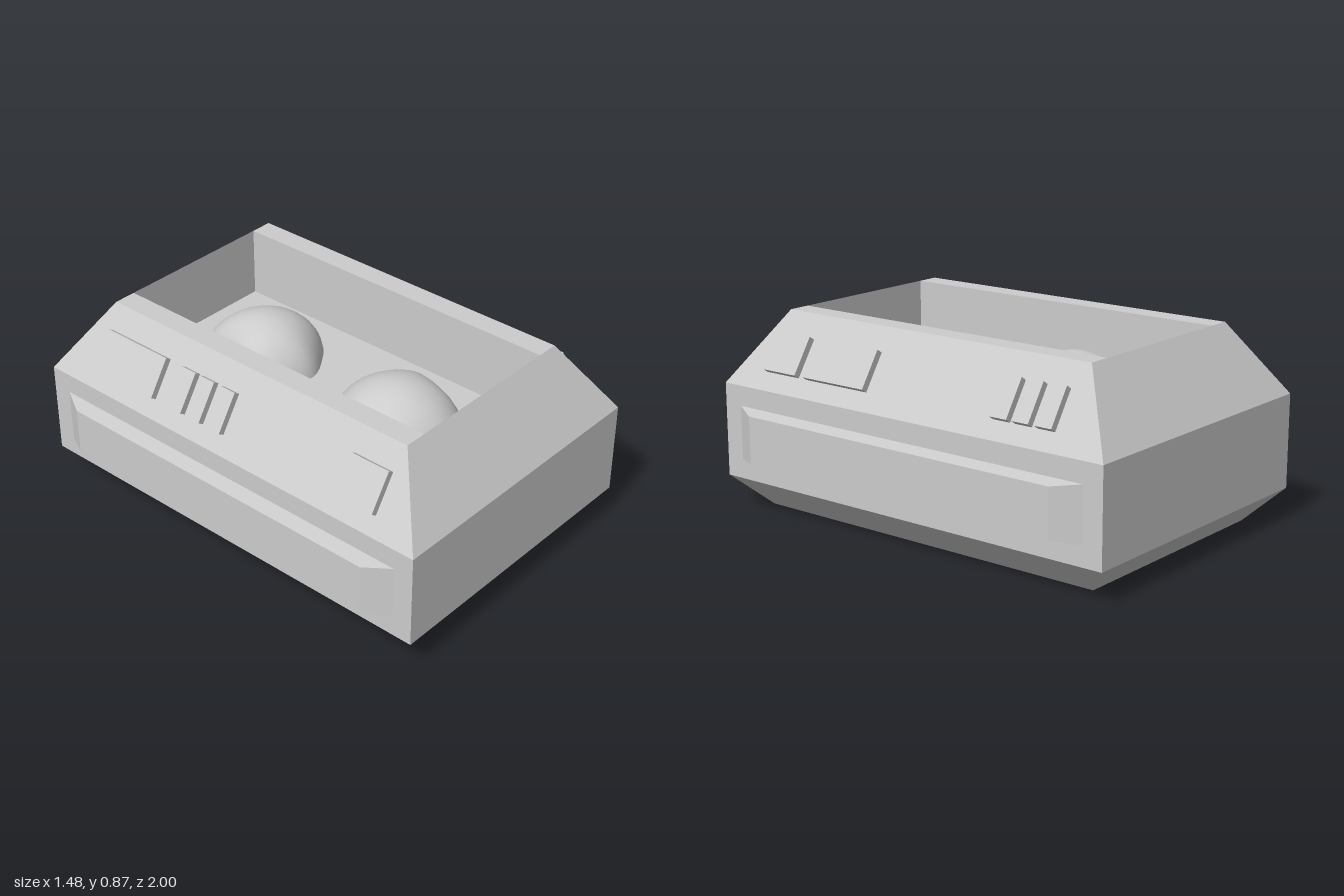
import * as THREE from 'three';
import { mergeVertices } from 'three/addons/utils/BufferGeometryUtils.js';

const gray = new THREE.MeshStandardMaterial({ color: 0xcccccc, side: THREE.DoubleSide });
gray.name = 'hull gray';

const RUN = 0.205, RISE = 0.315, SHOULDER = 0.555, CHINE = 0.14, FOOT = 0.135;
const TOP = SHOULDER + RISE;
const SLOPE = Math.hypot(RUN, RISE), BEVEL = Math.hypot(FOOT, CHINE);
const HALF_X = 0.675, HALF_Z = 1, WELL_X = 0.37, WELL_Z = HALF_Z - RUN;

function add(group, name, geometry) {
  const mesh = new THREE.Mesh(geometry, gray);
  mesh.name = name;
  group.add(mesh);
  return mesh;
}

// Flat trapezoid in the local xy plane with rectangular holes [u0, u1, v0, v1]
function wallGeometry(bottomHalf, topHalf, v0, v1, holes = []) {
  const shape = new THREE.Shape([
    new THREE.Vector2(-bottomHalf, v0), new THREE.Vector2(bottomHalf, v0),
    new THREE.Vector2(topHalf, v1), new THREE.Vector2(-topHalf, v1),
  ]);
  for (const [a, b, c, d] of holes) {
    shape.holes.push(new THREE.Path([
      new THREE.Vector2(a, c), new THREE.Vector2(a, d),
      new THREE.Vector2(b, d), new THREE.Vector2(b, c),
    ]));
  }
  return new THREE.ShapeGeometry(shape);
}

// Raised rectangle with an open back, its face inset by iu and iv
function embossGeometry([a, b, c, d], depth, iu = 0, iv = 0) {
  const base = [[a, c, 0], [b, c, 0], [b, d, 0], [a, d, 0]];
  const face = [[a + iu, c + iv, depth], [b - iu, c + iv, depth], [b - iu, d - iv, depth], [a + iu, d - iv, depth]];
  const out = [];
  const quad = (p, q, r, s) => out.push(...p, ...q, ...r, ...p, ...r, ...s);
  quad(...face);
  for (let i = 0; i < 4; i++) {
    const j = (i + 1) % 4;
    quad(base[i], base[j], face[j], face[i]);
  }
  const geometry = new THREE.BufferGeometry();
  geometry.setAttribute('position', new THREE.Float32BufferAttribute(out, 3));
  geometry.computeVertexNormals();
  return geometry;
}

// One side of the hull: lower bevel, upright wall and sloped upper wall
function hullSide(name, turn, half, distance, panels, strip) {
  const side = new THREE.Group();
  side.name = name;
  side.rotation.y = turn;

  const bevel = add(side, 'lowerBevel', wallGeometry(half - FOOT, half, -BEVEL, 0));
  bevel.position.set(0, CHINE, distance);
  bevel.rotation.x = Math.atan2(FOOT, CHINE);

  const wall = add(side, 'uprightWall', wallGeometry(half, half, CHINE, SHOULDER, strip ? [strip] : []));
  wall.position.z = distance;
  if (strip) add(side, 'sideStrip', embossGeometry(strip, 0.063, 0.115, 0.015)).position.z = distance;

  const upper = new THREE.Group();
  upper.name = 'upperSlope';
  upper.position.set(0, SHOULDER, distance);
  upper.rotation.x = -Math.atan2(RUN, RISE);
  add(upper, 'slopedWall', wallGeometry(half, half - RUN, 0, SLOPE, panels));
  for (const p of panels) add(upper, 'slopePanel', embossGeometry(p, 0.03));
  side.add(upper);
  return side;
}

// Open lumpy dome whose plan follows a smooth closed outline
function domeGeometry(cx, cz, baseY, topY, outline) {
  const curve = new THREE.CatmullRomCurve3(
    outline.map(([x, z]) => new THREE.Vector3(x - cx, 0, z - cz)), true, 'centripetal');
  const samples = curve.getPoints(240).map(p => [Math.atan2(p.z, p.x), Math.hypot(p.x, p.z)]);
  const radiusAt = angle => {
    let best = 10, radius = 0;
    for (const [a, r] of samples) {
      const gap = Math.abs(Math.atan2(Math.sin(a - angle), Math.cos(a - angle)));
      if (gap < best) { best = gap; radius = r; }
    }
    return radius;
  };
  const geometry = new THREE.SphereGeometry(1, 40, 14, 0, Math.PI * 2, 0, Math.PI / 2);
  const pos = geometry.attributes.position;
  for (let i = 0; i < pos.count; i++) {
    const x = pos.getX(i), y = pos.getY(i), z = pos.getZ(i);
    const angle = Math.atan2(z, x), flat = Math.hypot(x, z);
    // Outline irregularity fades toward the crown
    const r = flat < 1e-6 ? 0 : THREE.MathUtils.lerp(0.27, radiusAt(angle), flat * flat);
    const lump = 1 + 0.05 * Math.sin(3 * angle + 1) * flat * y;
    pos.setXYZ(i, cx + x * r * lump, baseY + y * (topY - baseY), cz + z * r * lump);
  }
  geometry.deleteAttribute('uv');
  geometry.deleteAttribute('normal');
  const smooth = mergeVertices(geometry, 1e-4);
  smooth.computeVertexNormals();
  return smooth;
}

export function createModel() {
  const model = new THREE.Group();
  model.name = 'openHull';

  // Panel spans along z on each long side
  const leftSpans = [[0.6, 0.785], [0.215, 0.553], [-0.53, -0.447], [-0.635, -0.555], [-0.745, -0.663]];
  const rightSpans = [[0.593, 0.78], [-0.1, -0.02], [-0.215, -0.135], [-0.32, -0.24], [-0.755, -0.41]];
  const strip = [-0.91, 0.91, 0.225, 0.465];
  const v0 = 0.084, v1 = 0.262;

  // Hull shell
  model.add(
    hullSide('leftSide', Math.PI / 2, HALF_Z, HALF_X, leftSpans.map(([a, b]) => [-b, -a, v0, v1]), strip),
    hullSide('rightSide', -Math.PI / 2, HALF_Z, HALF_X, rightSpans.map(([a, b]) => [a, b, v0, v1]), strip),
    hullSide('frontSide', 0, HALF_X, HALF_Z, []),
    hullSide('backSide', Math.PI, HALF_X, HALF_Z, []),
  );

  // Top rims and the walls of the well
  const rim = HALF_X - RUN - WELL_X;
  for (const s of [-1, 1]) {
    const ledge = add(model, 'topRim', new THREE.PlaneGeometry(rim, WELL_Z * 2));
    ledge.rotation.x = -Math.PI / 2;
    ledge.position.set(s * (WELL_X + rim / 2), TOP, 0);

    const long = add(model, 'wellSideWall', new THREE.PlaneGeometry(WELL_Z * 2, RISE));
    long.rotation.y = -s * Math.PI / 2;
    long.position.set(s * WELL_X, SHOULDER + RISE / 2, 0);

    const end = add(model, 'wellEndWall', new THREE.PlaneGeometry(WELL_X * 2, RISE));
    end.rotation.y = s > 0 ? Math.PI : 0;
    end.position.set(0, SHOULDER + RISE / 2, s * WELL_Z);
  }

  // Well floor
  const floor = add(model, 'wellFloor', new THREE.PlaneGeometry(WELL_X * 2, 1.99));
  floor.rotation.x = -Math.PI / 2;
  floor.position.y = SHOULDER;

  // Lumpy mounds resting in the well
  add(model, 'backMound', domeGeometry(0, -0.37, 0.5, 0.77, [
    [-0.05, -0.66], [-0.16, -0.6], [-0.2, -0.43], [-0.25, -0.28], [-0.18, -0.19], [0, -0.1],
    [0.13, -0.16], [0.24, -0.27], [0.23, -0.42], [0.19, -0.53], [0.08, -0.63],
  ]));
  add(model, 'frontMound', domeGeometry(-0.01, 0.37, 0.5, 0.75, [
    [-0.01, 0.09], [-0.19, 0.15], [-0.31, 0.26], [-0.29, 0.46], [-0.17, 0.58], [0.03, 0.66],
    [0.18, 0.57], [0.22, 0.42], [0.27, 0.28], [0.23, 0.21], [0.14, 0.13],
  ]));
  return model;
}
